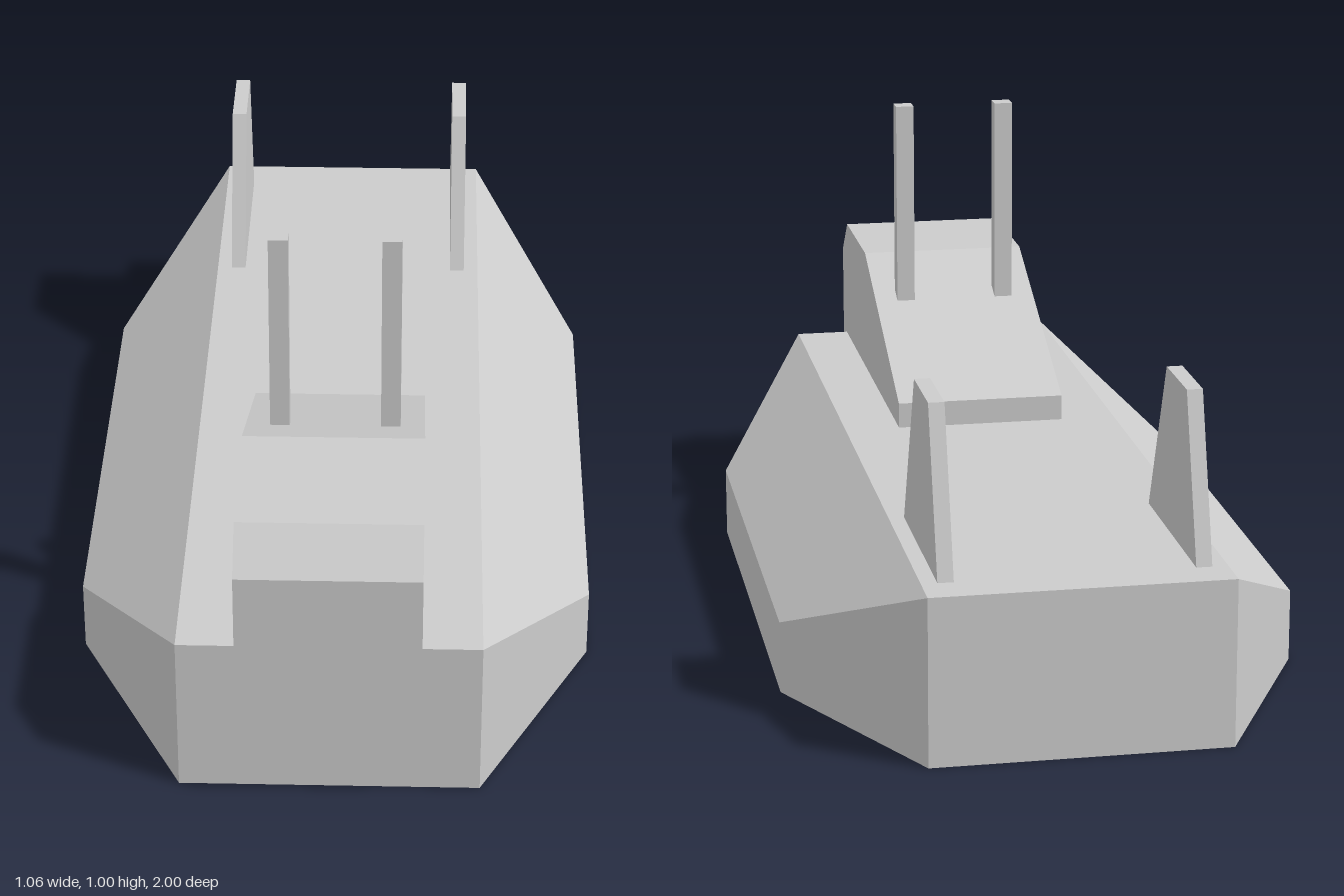
import * as THREE from 'three';
import { ConvexGeometry } from 'three/addons/geometries/ConvexGeometry.js';

const material = new THREE.MeshStandardMaterial({ color: 0xcccccc, flatShading: true });

function addPart(group, name, geometry, x = 0, y = 0, z = 0) {
  const mesh = new THREE.Mesh(geometry, material);
  mesh.name = name;
  mesh.position.set(x, y, z);
  group.add(mesh);
}

// Side profile of [z, y] points, extruded across x and centred on x = 0
function sideProfile(points, width) {
  const shape = new THREE.Shape(points.map(([z, y]) => new THREE.Vector2(z, y)));
  return new THREE.ExtrudeGeometry(shape, { depth: width, bevelEnabled: false })
    .rotateY(-Math.PI / 2)
    .translate(width / 2, 0, 0);
}

export function createModel() {
  const group = new THREE.Group();
  group.name = 'barge';

  // Hull: octagonal bottom, low side walls, sloped shoulders and a narrow flat deck
  const corners = [];
  for (const s of [-1, 1]) {
    for (const z of [-1, 0.947]) {
      for (const y of [0, 0.345]) corners.push(new THREE.Vector3(s * 0.302, y, z));
    }
    for (const z of [-0.55, 0.49]) {
      for (const y of [0, 0.15]) corners.push(new THREE.Vector3(s * 0.532, y, z));
    }
  }
  addPart(group, 'hull', new ConvexGeometry(corners));

  // Cabin overhanging the bow, sloping down towards the deck
  addPart(group, 'cabin', sideProfile([
    [0.116, 0.136], [1, 0.136], [1, 0.543], [0.92, 0.621], [0.62, 0.621], [0.116, 0.4],
  ], 0.366));

  // Paired masts on the cabin and tapered fins at the stern
  const mast = new THREE.BoxGeometry(0.04, 0.48, 0.04);
  const fin = sideProfile([[-0.92, 0.345], [-0.51, 0.345], [-0.65, 0.675], [-0.82, 0.675]], 0.032);
  for (const [side, s] of [['left', 1], ['right', -1]]) {
    addPart(group, side + 'Mast', mast, s * 0.113, 0.758, 0.471);
    addPart(group, side + 'Fin', fin, s * 0.254);
  }
  return group;
}
